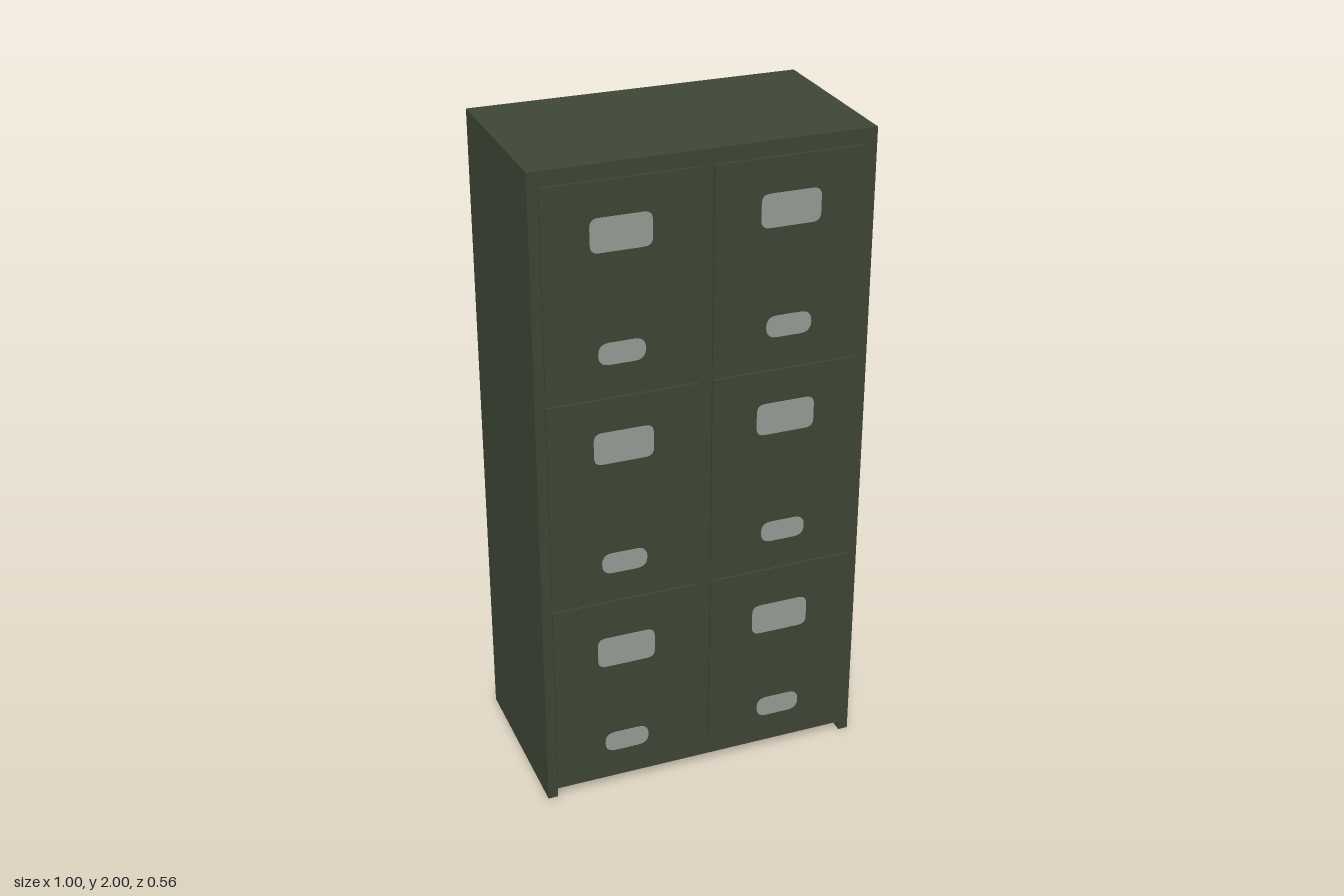
import * as THREE from 'three';

const green = new THREE.MeshStandardMaterial({ color: 0x3d4634 });
green.name = 'olive green paint';
const grey = new THREE.MeshStandardMaterial({ color: 0x969b95 });
grey.name = 'light grey plate';

const FACE = 0.28; // z of the door fronts

// Box given by its extents on each axis
function box(name, [x0, x1], [y0, y1], [z0, z1]) {
  const mesh = new THREE.Mesh(new THREE.BoxGeometry(x1 - x0, y1 - y0, z1 - z0), green);
  mesh.position.set((x0 + x1) / 2, (y0 + y1) / 2, (z0 + z1) / 2);
  mesh.name = name;
  return mesh;
}

// Thin rounded plate lying on a door
function plate(name, x, y, w, h, r) {
  const a = w / 2, b = h / 2;
  const s = new THREE.Shape();
  s.moveTo(-a + r, -b);
  s.lineTo(a - r, -b);
  s.quadraticCurveTo(a, -b, a, -b + r);
  s.lineTo(a, b - r);
  s.quadraticCurveTo(a, b, a - r, b);
  s.lineTo(-a + r, b);
  s.quadraticCurveTo(-a, b, -a, b - r);
  s.lineTo(-a, -b + r);
  s.quadraticCurveTo(-a, -b, -a + r, -b);
  const geo = new THREE.ExtrudeGeometry(s, { depth: 0.002, bevelEnabled: false, curveSegments: 5 });
  const mesh = new THREE.Mesh(geo, grey);
  mesh.position.set(x, y, FACE - 0.0005);
  mesh.name = name;
  return mesh;
}

export function createModel() {
  const model = new THREE.Group();
  model.name = 'lockerCabinet';

  // Cabinet carcass
  model.add(box('body', [-0.5, 0.5], [0.03, 2], [-0.28, 0.273]));

  // Runners under both sides
  model.add(box('leftRunner', [0.47, 0.5], [0, 0.03], [-0.28, 0.273]));
  model.add(box('rightRunner', [-0.5, -0.47], [0, 0.03], [-0.28, 0.273]));

  // Three rows of paired doors, each with a label plate and a handle plate
  const rows = [
    { y: [0.08, 0.66], label: 0.489, handle: 0.163 },
    { y: [0.71, 1.32], label: 1.168, handle: 0.792 },
    { y: [1.37, 1.955], label: 1.803, handle: 1.456 },
  ];
  rows.forEach(({ y, label, handle }) => {
    for (const side of [-1, 1]) {
      const locker = new THREE.Group();
      locker.name = side > 0 ? 'leftLocker' : 'rightLocker';
      const x = side > 0 ? [0.02, 0.47] : [-0.47, -0.02];
      locker.add(box('door', x, y, [0.27, FACE]));
      locker.add(plate('labelPlate', side * 0.246, label, 0.178, 0.099, 0.025));
      locker.add(plate('handlePlate', side * 0.248, handle, 0.138, 0.066, 0.032));
      model.add(locker);
    }
  });

  return model;
}
